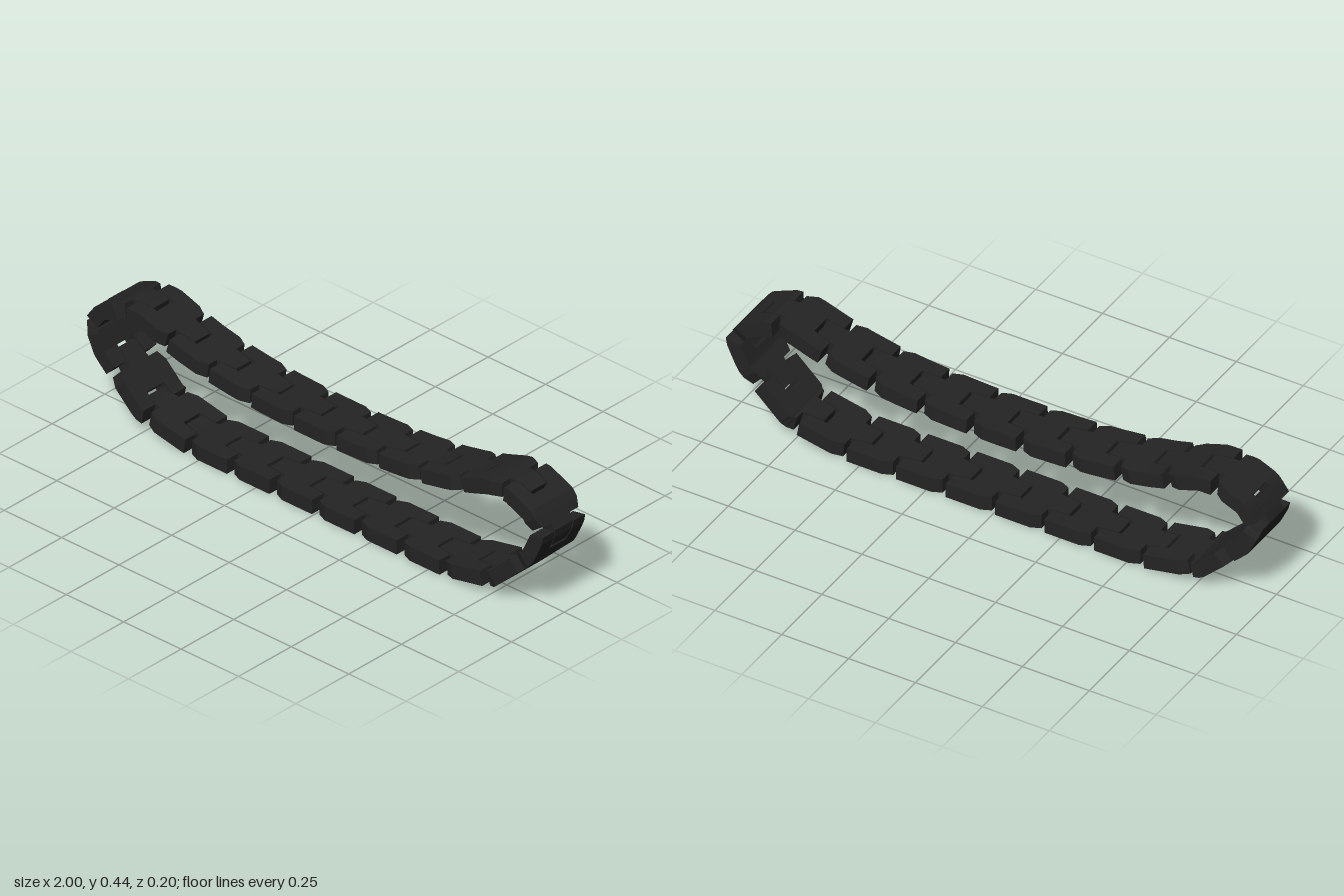
import * as THREE from 'three';

const HALF = 0.0265;   // half the link thickness
const WIDE = 0.1;      // half the track width
const LINKS = 23;

// Right half of the track's centre line, clockwise from the middle of the top run
const halfPath = [
  [0, 0.309], [0.12, 0.311], [0.24, 0.316], [0.36, 0.325], [0.48, 0.34], [0.58, 0.36], [0.67, 0.385],
  [0.765, 0.417], [0.84, 0.417], [0.93, 0.378], [0.975, 0.315], [0.932, 0.224], [0.765, 0.067], [0.56, 0.0265],
];

function trackPath() {
  const pts = halfPath.map(([x, y]) => new THREE.Vector2(x, y));
  for (let i = halfPath.length - 1; i > 0; i--) pts.push(new THREE.Vector2(-halfPath[i][0], halfPath[i][1]));
  const path = new THREE.CurvePath();
  pts.forEach((p, i) => path.add(new THREE.LineCurve(p, pts[(i + 1) % pts.length])));
  return path;
}

export function createModel() {
  const rubber = new THREE.MeshStandardMaterial({ color: 0x242424 });
  rubber.name = 'darkRubber';
  const track = new THREE.Group();
  track.name = 'track';

  const path = trackPath();
  const length = path.getLength();
  const pitch = length / LINKS;
  const at = (s) => path.getPoint((((s / length) % 1) + 1) % 1);

  // Place a point given by distance along, height off and position across the track
  function place(s, h, z) {
    const p = at(s);
    const t = at(s + 0.02).sub(at(s - 0.02)).normalize();
    return [p.x - t.y * h, p.y + t.x * h, z];
  }

  // Bent bar through stations [s, z0, z1], subdivided so it follows the path
  function addBar(out, start, stations) {
    const rings = [];
    stations.forEach(([s, a, b], i) => {
      const next = stations[i + 1];
      const n = next ? Math.max(1, Math.round((next[0] - s) / 0.018)) : 1;
      for (let j = 0; j < n; j++) {
        const f = j / n;
        const mix = (k) => (next ? THREE.MathUtils.lerp(stations[i][k], next[k], f) : stations[i][k]);
        const u = start + mix(0), z0 = mix(1), z1 = mix(2);
        rings.push([[-HALF, z0], [-HALF, z1], [HALF, z1], [HALF, z0]].map(([h, z]) => place(u, h, z)));
      }
    });
    const quad = (a, b, c, d) => out.push(...a, ...b, ...c, ...a, ...c, ...d);
    for (let i = 0; i < rings.length - 1; i++) {
      for (let k = 0; k < 4; k++) {
        const m = (k + 1) % 4;
        quad(rings[i][k], rings[i + 1][k], rings[i + 1][m], rings[i][m]);
      }
    }
    const first = rings[0], last = rings[rings.length - 1];
    quad(first[0], first[1], first[2], first[3]);
    quad(last[3], last[2], last[1], last[0]);
  }

  for (let i = 0; i < LINKS; i++) {
    const start = i * pitch - 0.105;
    const back = 0.02 - pitch, notch = 0.087 - pitch;
    const out = [];
    // Full-width body with chamfered front corners
    addBar(out, start, [[notch, -WIDE, WIDE], [-0.035, -WIDE, WIDE], [0, -0.085, 0.085]]);
    // Tapered tongue that enters the next link
    addBar(out, start, [[0, -0.045, 0.045], [0.075, -0.035, 0.035]]);
    // Two arms on either side of the rear notch
    addBar(out, start, [[back, 0.047, WIDE], [notch, 0.039, WIDE]]);
    addBar(out, start, [[back, -WIDE, -0.047], [notch, -WIDE, -0.039]]);

    const geometry = new THREE.BufferGeometry();
    geometry.setAttribute('position', new THREE.Float32BufferAttribute(out, 3));
    geometry.computeVertexNormals();
    const link = new THREE.Mesh(geometry, rubber);
    link.name = 'trackLink' + (i + 1);
    track.add(link);
  }
  return track;
}
